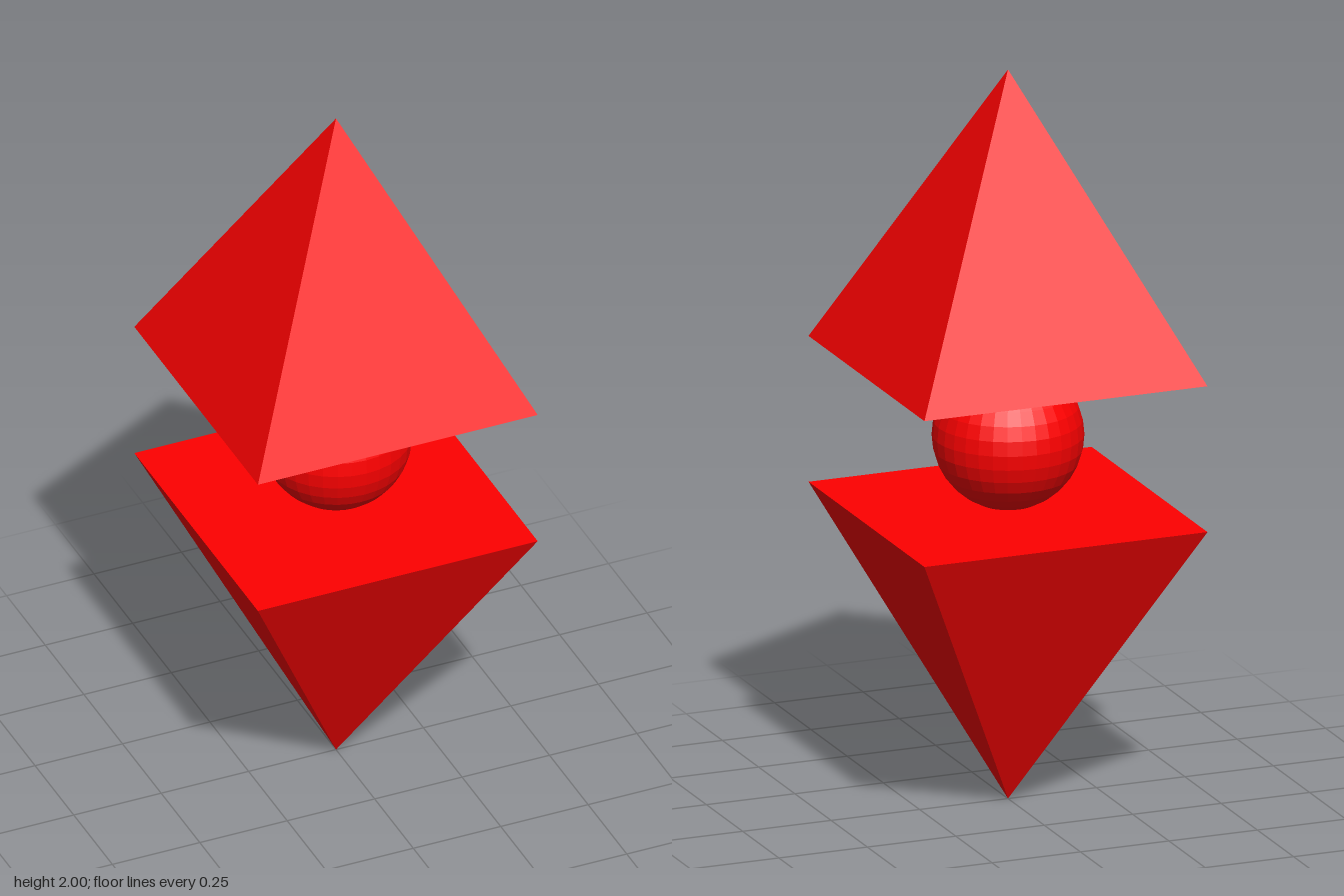
import * as THREE from 'three';

export function createModel() {
  const group = new THREE.Group();
  const red = new THREE.MeshStandardMaterial({ color: 0xff0000, flatShading: true });

  // Square pyramid, 0.8 wide and 0.8 tall, sides facing the axes
  const pyramid = new THREE.ConeGeometry(0.4 * Math.SQRT2, 0.8, 4).rotateY(Math.PI / 4);

  const add = (name, geometry, y) => {
    const mesh = new THREE.Mesh(geometry, red);
    mesh.name = name;
    mesh.position.y = y;
    group.add(mesh);
    return mesh;
  };

  add('upperPyramid', pyramid, 1.6);
  add('lowerPyramid', pyramid, 0.4).rotation.x = Math.PI; // point down

  // Faceted ball held between the two flat bases
  add('centreBall', new THREE.SphereGeometry(0.2, 32, 16), 1);

  return group;
}
